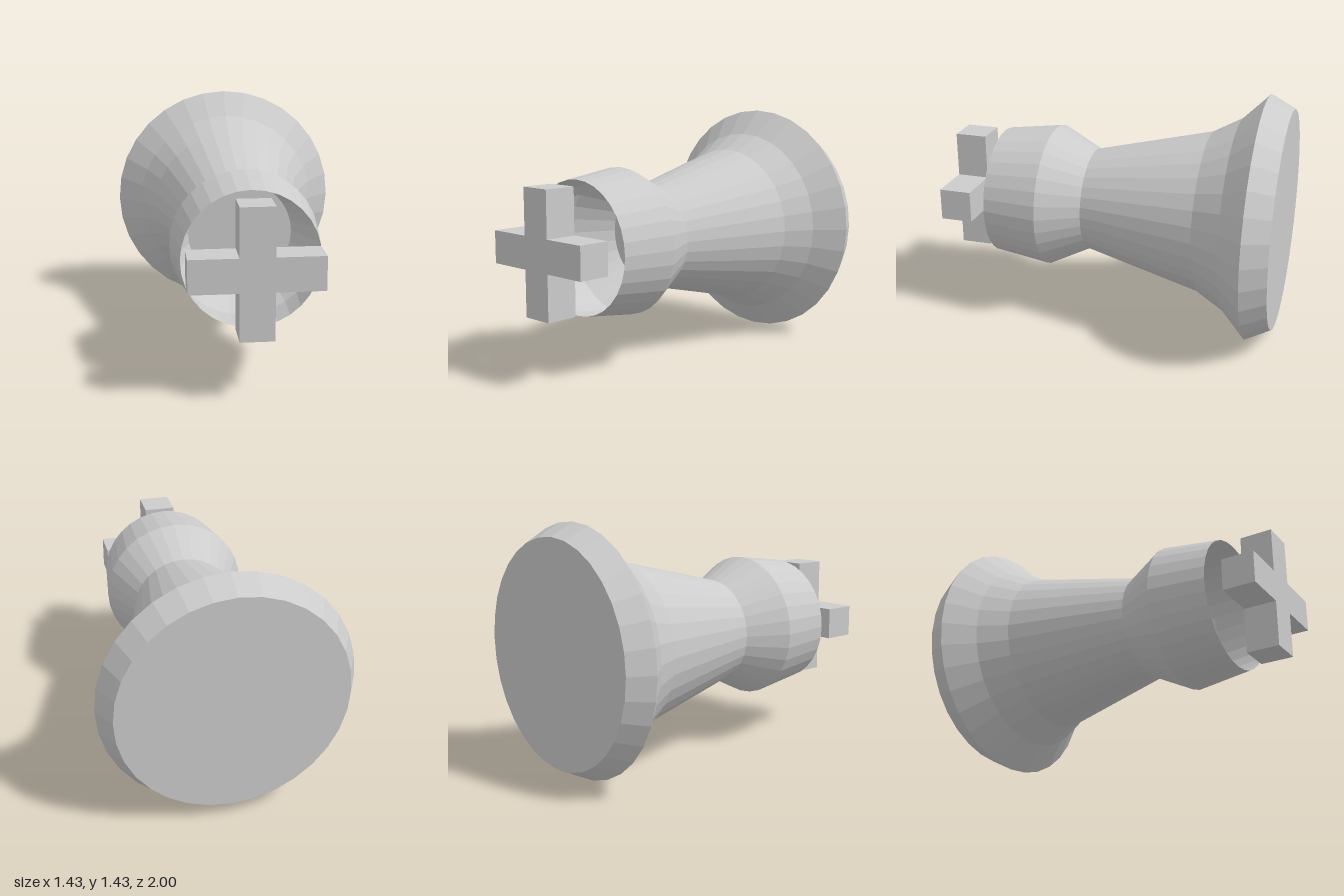
import * as THREE from 'three';

const SIDES = 32;
const CENTRE_Y = 0.715;

// Faceted surface of revolution about the z axis, from [radius, z] pairs, back to front
function turned(name, profile, material) {
  const points = profile.map(([r, z]) => new THREE.Vector2(r, z));
  const geometry = new THREE.LatheGeometry(points, SIDES).rotateX(Math.PI / 2);
  const mesh = new THREE.Mesh(geometry, material);
  mesh.name = name;
  mesh.position.y = CENTRE_Y;
  return mesh;
}

// Outline of a plus sign: arm half-length a, half-width w
function plusShape(a, w) {
  return new THREE.Shape([
    [w, w], [w, a], [-w, a], [-w, w], [-a, w], [-a, -w],
    [-w, -w], [-w, -a], [w, -a], [w, -w], [a, -w], [a, w],
  ].map(([x, y]) => new THREE.Vector2(x, y)));
}

export function createModel() {
  const group = new THREE.Group();
  group.name = 'turnedKnobWithCross';
  const solid = new THREE.MeshStandardMaterial({ color: 0xcccccc, flatShading: true });
  const shell = new THREE.MeshStandardMaterial({
    color: 0xcccccc, flatShading: true, side: THREE.DoubleSide,
  });

  // Flared body, closed at the back and at the neck
  group.add(turned('flaredBody', [
    [0, -1], [0.64, -1], [0.713, -0.86], [0.567, -0.715],
    [0.475, -0.55], [0.305, 0.143], [0, 0.143],
  ], solid));

  // Thin cup, open towards the front
  group.add(turned('openCup', [
    [0.305, 0.143], [0.427, 0.383], [0.382, 0.714],
  ], shell));

  // Free-standing cross in front of the cup
  const crossGeometry = new THREE.ExtrudeGeometry(plusShape(0.357, 0.093), {
    depth: 0.19, bevelEnabled: false,
  });
  const cross = new THREE.Mesh(crossGeometry, solid);
  cross.name = 'cross';
  cross.position.set(-0.002, CENTRE_Y + 0.002, 0.81);
  group.add(cross);

  return group;
}
